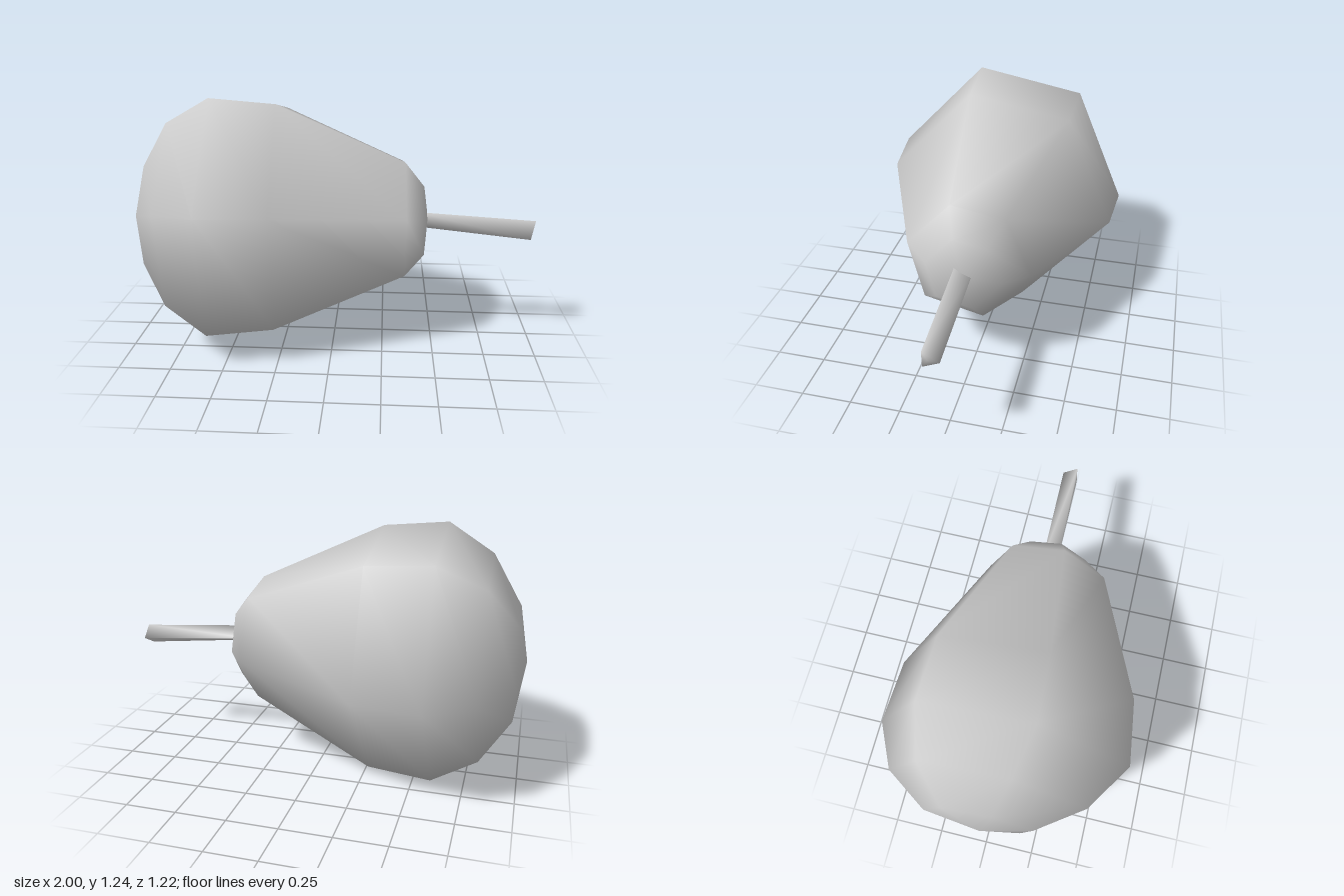
import * as THREE from 'three';

// Skin closed rings of [x, y, z] points running along +x, with a pole at each end.
function loft(rings, startPole, endPole) {
  const n = rings[0].length;
  const points = [...rings.flat(), startPole, endPole];
  const start = points.length - 2, end = points.length - 1;
  const index = [];
  for (let j = 0; j < n; j++) {
    const k = (j + 1) % n;
    for (let i = 0; i < rings.length - 1; i++) {
      const a = i * n + j, b = i * n + k, c = a + n, d = b + n;
      index.push(a, c, b, b, c, d);
    }
    const last = (rings.length - 1) * n;
    index.push(start, j, k, end, last + k, last + j);
  }
  const geometry = new THREE.BufferGeometry();
  geometry.setAttribute('position', new THREE.Float32BufferAttribute(points.flat(), 3));
  geometry.setIndex(index);
  geometry.computeVertexNormals();
  return geometry;
}

export function createModel() {
  const group = new THREE.Group();
  group.name = 'pear';
  const grey = new THREE.MeshStandardMaterial({ color: 0xcccccc });
  grey.name = 'light grey';

  // Body: one slightly uneven hexagon (z, y), scaled and shifted along the axis
  const hexagon = [
    [0.175, 0.62], [-0.355, 0.52], [-0.61, -0.065],
    [-0.135, -0.62], [0.46, -0.46], [0.61, 0.16],
  ];
  // x, scale, centre y, centre z
  const sections = [
    [-0.955, 0.435, 0.615, -0.02],
    [-0.81, 0.79, 0.625, -0.02],
    [-0.585, 1, 0.625, 0],
    [-0.27, 0.95, 0.628, -0.01],
    [0.345, 0.49, 0.628, 0.008],
    [0.44, 0.3, 0.62, 0.008],
  ];
  const bodyRings = sections.map(([x, s, cy, cz]) =>
    hexagon.map(([z, y]) => [x + 0.015 * z, cy + y * s, cz + z * s]));
  const body = new THREE.Mesh(loft(bodyRings, [-1, 0.63, 0], [0.468, 0.63, 0.01]), grey);
  body.name = 'body';

  // Stem: a thin, slightly drooping three-sided rod
  const stemRings = [
    [[0.42, 0.672, 0.05], [0.42, 0.63, -0.03], [0.42, 0.595, 0.045]],
    [[1, 0.632, 0.032], [0.99, 0.58, -0.042], [0.98, 0.535, 0.038]],
  ];
  const stem = new THREE.Mesh(loft(stemRings, [0.42, 0.63, 0.02], [0.99, 0.582, 0.01]), grey);
  stem.name = 'stem';

  group.add(body, stem);
  return group;
}
